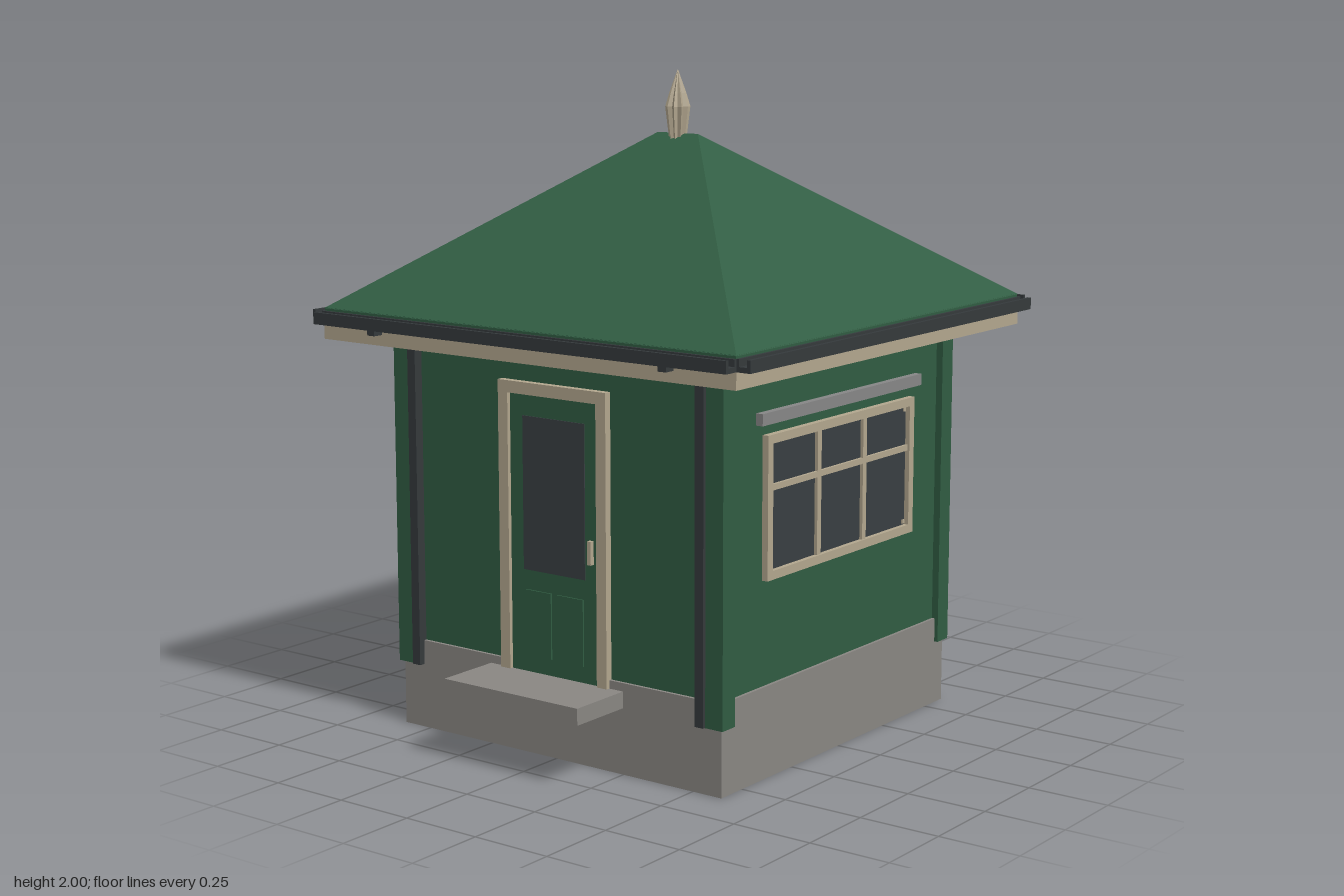
import * as THREE from 'three';

const mat = (name, color) => {
  const m = new THREE.MeshStandardMaterial({ color });
  m.name = name;
  return m;
};

export function createModel() {
  const green = mat('green paint', 0x315d43);
  const beige = mat('beige trim', 0xb3a78f);
  const stone = mat('stone grey', 0x8a8783);
  const metal = mat('shutter grey', 0x878787);
  const dark = mat('dark metal', 0x353a3c);
  const glass = mat('dark glass', 0x393f42);

  const root = new THREE.Group();
  root.name = 'kiosk';

  // Box given by its min and max on each axis
  const box = (parent, name, m, x0, x1, y0, y1, z0, z1) => {
    const mesh = new THREE.Mesh(new THREE.BoxGeometry(x1 - x0, y1 - y0, z1 - z0), m);
    mesh.position.set((x0 + x1) / 2, (y0 + y1) / 2, (z0 + z1) / 2);
    mesh.name = name;
    parent.add(mesh);
    return mesh;
  };
  // Group whose local +z points out of one side of the building
  const side = (name, angle) => {
    const g = new THREE.Group();
    g.name = name;
    g.rotation.y = angle;
    root.add(g);
    return g;
  };

  // Base, walls and step
  box(root, 'plinth', stone, -0.6, 0.6, 0, 0.275, -0.6, 0.6);
  box(root, 'walls', green, -0.59, 0.59, 0.275, 1.21, -0.59, 0.59);
  box(root, 'doorStep', stone, -0.81, -0.6, 0.2, 0.25, -0.25, 0.25);

  // Corner posts and downpipes
  for (const sx of [-1, 1]) for (const sz of [-1, 1]) {
    const post = box(root, 'cornerPost', green, -0.03, 0.03, 0.2, 1.21, -0.03, 0.03);
    post.position.x = sx * 0.582;
    post.position.z = sz * 0.582;
    const pipe = box(root, 'downpipe', dark, -0.015, 0.015, 0.2, 1.21, -0.015, 0.015);
    pipe.position.x = sx * 0.605;
    pipe.position.z = sz * 0.535;
    const outlet = box(root, 'gutterOutlet', dark, -0.018, 0.018, 1.238, 1.26, -0.014, 0.014);
    outlet.position.x = sx * 0.773;
    outlet.position.z = sz * 0.535;
  }

  // Three-pane window with transom lights and a shutter box above
  const addWindow = (g) => {
    const w = 0.392, y0 = 0.588, y1 = 1.01, t = 0.026, z0 = 0.58, z1 = 0.61;
    box(g, 'windowGlass', glass, -w + t, w - t, y0 + t, y1 - t, 0.587, 0.595);
    for (const s of [-1, 1]) {
      const jamb = box(g, 'windowJamb', beige, -t / 2, t / 2, y0, y1, z0, z1);
      jamb.position.x = s * (w - t / 2);
      const mullion = box(g, 'windowMullion', beige, -0.01, 0.01, y0 + t, y1 - t, z0, 0.605);
      mullion.position.x = s * 0.122;
      for (const y of [y0 + t + 0.01, y1 - t - 0.01]) {
        const bolt = box(g, 'windowBolt', beige, -0.006, 0.006, y - 0.006, y + 0.006, 0.594, 0.599);
        bolt.position.x = s * (w - t - 0.01);
      }
    }
    box(g, 'windowBottomRail', beige, -w + t, w - t, y0, y0 + t, z0, z1);
    box(g, 'windowTopRail', beige, -w + t, w - t, y1 - t, y1, z0, z1);
    box(g, 'windowTransom', beige, -w + t, w - t, 0.846, 0.864, z0, 0.604);
    box(g, 'shutterBox', metal, -0.425, 0.425, 1.042, 1.077, 0.58, 0.613);
  };
  addWindow(side('frontSide', 0));
  addWindow(side('backSide', Math.PI));

  // Serving side: counter and fascia board
  const serving = side('servingSide', Math.PI / 2);
  addWindow(serving);
  box(serving, 'counter', beige, -0.402, 0.402, 0.572, 0.588, 0.58, 0.68);
  box(serving, 'fasciaBoard', beige, -0.507, 0.507, 1.11, 1.21, 0.58, 0.64);

  // Door side
  const door = side('doorSide', -Math.PI / 2);
  for (const s of [-1, 1]) {
    const jamb = box(door, 'doorJamb', beige, -0.018, 0.018, 0.25, 1.12, 0.57, 0.613);
    jamb.position.x = s * 0.182;
    const panel = box(door, 'doorPanel', green, -0.048, 0.048, 0.3, 0.5, 0.59, 0.606);
    panel.position.x = s * 0.06;
  }
  box(door, 'doorHead', beige, -0.164, 0.164, 1.084, 1.12, 0.57, 0.613);
  box(door, 'doorLeaf', green, -0.164, 0.164, 0.25, 1.084, 0.57, 0.601);
  box(door, 'doorGlass', glass, -0.115, 0.115, 0.56, 1.02, 0.598, 0.604);
  box(door, 'doorHandle', beige, 0.132, 0.146, 0.61, 0.68, 0.6, 0.615);

  // Soffit and roof edge
  const e = 0.757;
  box(root, 'soffit', beige, -e, e, 1.205, 1.255, -e, e);
  box(root, 'roofEdge', green, -e + 0.002, e - 0.002, 1.255, 1.3, -e + 0.002, e - 0.002);

  // Hipped roof: a box whose upper corners are drawn in to a short ridge
  const roofGeo = new THREE.BoxGeometry(2 * e, 0.512, 2 * e).toNonIndexed();
  const p = roofGeo.attributes.position;
  for (let i = 0; i < p.count; i++) {
    if (p.getY(i) > 0) p.setXYZ(i, 0, p.getY(i), Math.sign(p.getZ(i)) * 0.075);
  }
  roofGeo.computeVertexNormals();
  const roof = new THREE.Mesh(roofGeo, green);
  roof.name = 'roof';
  roof.position.y = 1.298 + 0.256;
  root.add(roof);

  // Trough gutters along all four eaves
  for (let i = 0; i < 4; i++) {
    const g = side('gutter', i * Math.PI / 2);
    box(g, 'gutterFloor', dark, -e, e, 1.255, 1.27, e, 0.803);
    box(g, 'gutterLip', dark, -e, e, 1.27, 1.291, 0.792, 0.803);
    box(g, 'gutterBack', dark, -e, e, 1.27, 1.291, e, 0.766);
  }

  // Fluted finial: every second rib of the lathe is drawn in
  const profile = [[0.001, 1.79], [0.026, 1.79], [0.038, 1.89], [0.026, 1.93], [0.001, 2]];
  const finialGeo = new THREE.LatheGeometry(profile.map(([r, y]) => new THREE.Vector2(r, y)), 20);
  const q = finialGeo.attributes.position;
  for (let i = 0; i < q.count; i++) {
    const k = Math.floor(i / profile.length) % 2 ? 0.75 : 1;
    q.setXYZ(i, q.getX(i) * k, q.getY(i), q.getZ(i) * k);
  }
  const flatFinial = finialGeo.toNonIndexed();
  flatFinial.computeVertexNormals();
  const finial = new THREE.Mesh(flatFinial, beige);
  finial.name = 'finial';
  root.add(finial);

  return root;
}
